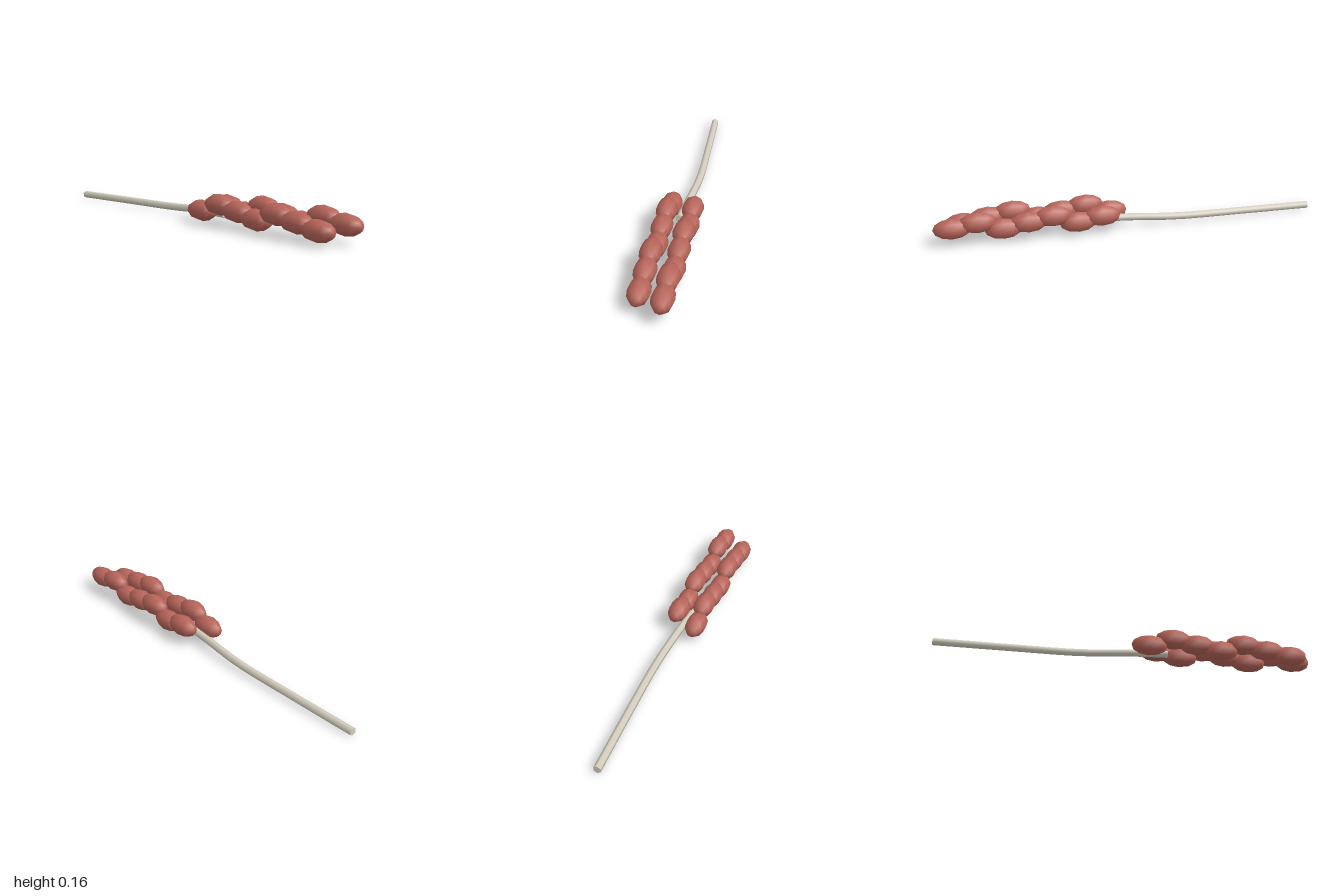
import * as THREE from 'three';

export function createModel() {
  const model = new THREE.Group();
  model.name = 'grainStalk';
  const grainMat = new THREE.MeshStandardMaterial({ color: 0xb8655a });
  grainMat.name = 'grainRed';
  const stemMat = new THREE.MeshStandardMaterial({ color: 0xd6d0c0 });
  stemMat.name = 'paleStem';

  function add(name, geometry, material, parent = model) {
    const mesh = new THREE.Mesh(geometry, material);
    mesh.name = name;
    parent.add(mesh);
    return mesh;
  }

  // gently bent six-sided stem with closed ends
  const radius = 0.02;
  const path = new THREE.CatmullRomCurve3([
    new THREE.Vector3(-1, 0.02, 0),
    new THREE.Vector3(-0.62, 0.027, -0.016),
    new THREE.Vector3(-0.25, 0.034, -0.027),
    new THREE.Vector3(0, 0.048, -0.015),
    new THREE.Vector3(0.2, 0.05, 0),
  ]);
  add('stem', new THREE.TubeGeometry(path, 12, radius, 6), stemMat);
  for (const [name, t, turn] of [['stemBase', 0, -1], ['stemTip', 1, 1]]) {
    const cap = add(name, new THREE.CircleGeometry(radius, 6, Math.PI / 2), stemMat);
    cap.position.copy(path.getPoint(t));
    cap.rotation.y = turn * Math.PI / 2;
  }

  // faceted oval grain, poles along x
  const grain = new THREE.SphereGeometry(0.055, 8, 6);
  grain.rotateZ(-Math.PI / 2);
  grain.scale(0.094 / 0.055, 1, 1);

  // two staggered rows, heights repeating every three grains
  const heights = [0.065, 0.108, 0.087];
  const rows = [
    { name: 'frontGrains', x: 0.092, z: 0.06, shift: 0 },
    { name: 'backGrains', x: 0.153, z: -0.06, shift: 2 },
  ];
  for (const row of rows) {
    const group = new THREE.Group();
    group.name = row.name;
    model.add(group);
    for (let i = 0; i < 7; i++) {
      add('grain', grain, grainMat, group)
        .position.set(row.x + i * 0.1255, heights[(i + row.shift) % 3], row.z);
    }
  }
  return model;
}
